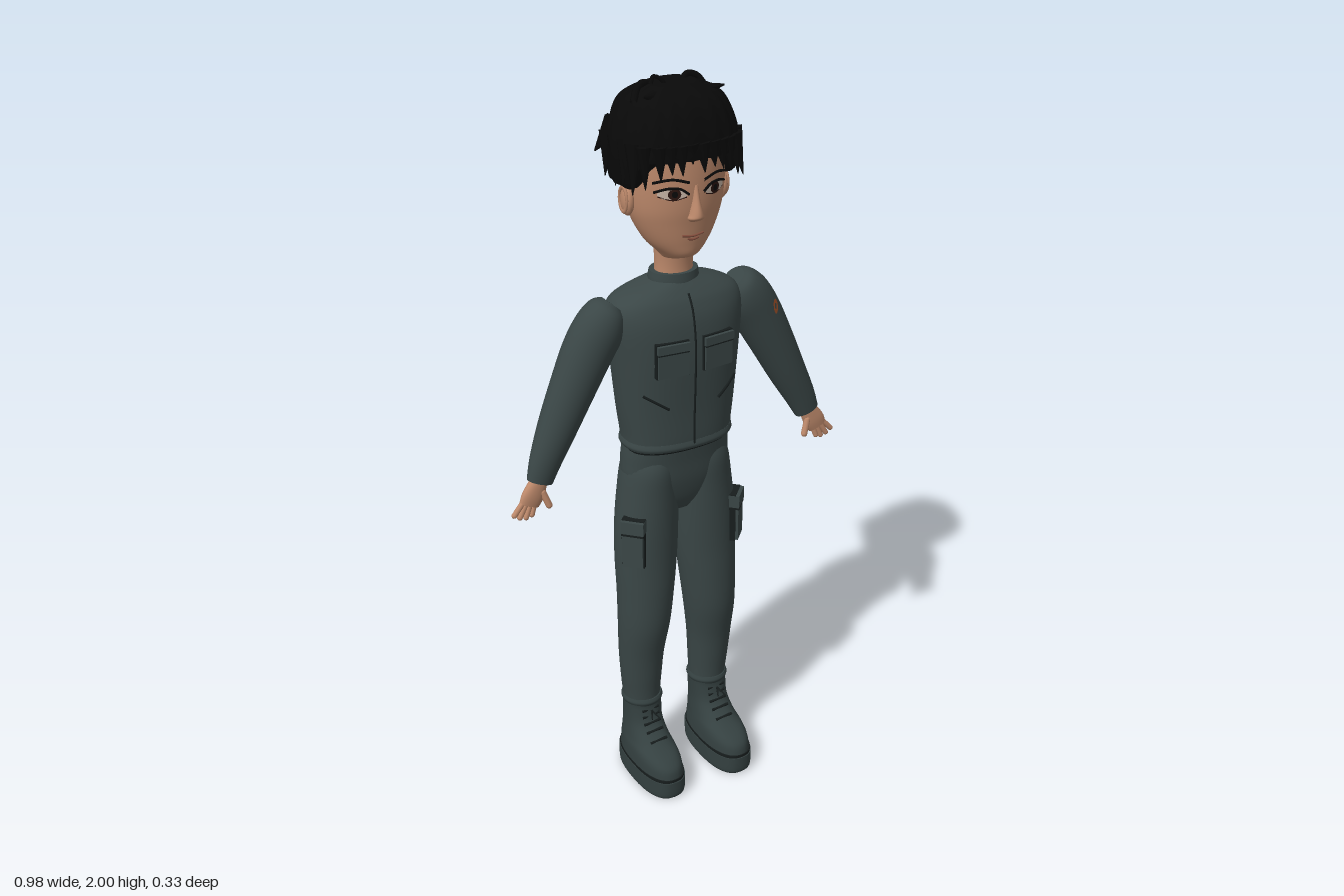
import * as THREE from 'three';

const mat = (name, color, side = THREE.FrontSide) => {
  const m = new THREE.MeshStandardMaterial({ color, side });
  m.name = name;
  return m;
};

// Rings are [x, y, z, radiusX, radiusZ, tilt], listed bottom to top; smooth them with Catmull-Rom.
function smooth(rings, steps = 5) {
  const at = i => rings[Math.min(Math.max(i, 0), rings.length - 1)];
  const out = [];
  for (let i = 0; i < rings.length - 1; i++)
    for (let k = 0; k < steps; k++) {
      const t = k / steps, [a, b, c, d] = [at(i - 1), at(i), at(i + 1), at(i + 2)];
      out.push(b.map((_, j) => 0.5 * (2 * b[j] + (c[j] - a[j]) * t +
        (2 * a[j] - 5 * b[j] + 4 * c[j] - d[j]) * t * t + (3 * b[j] - a[j] - 3 * c[j] + d[j]) * t ** 3)));
    }
  out.push(at(rings.length));
  return out;
}

// Superellipse cross-sections skinned into a closed body
function loft(rings, n = 2, deform = null, seg = 40) {
  const pos = [], idx = [], rows = smooth(rings);
  const pw = v => Math.sign(v) * Math.abs(v) ** (2 / n);
  const addRing = r => {
    const t = r[5] || 0;
    for (let j = 0; j < seg; j++) {
      const a = j / seg * Math.PI * 2, u = pw(Math.cos(a)) * r[3];
      const p = new THREE.Vector3(r[0] + u * Math.cos(t), r[1] + u * Math.sin(t), r[2] + pw(Math.sin(a)) * r[4]);
      if (deform) deform(p, a);
      pos.push(p.x, p.y, p.z);
    }
  };
  rows.forEach(addRing);
  for (let i = 0; i < rows.length - 1; i++)
    for (let j = 0; j < seg; j++) {
      const a = i * seg + j, b = i * seg + (j + 1) % seg;
      idx.push(a, a + seg, b, b, a + seg, b + seg);
    }
  [rows[0], rows[rows.length - 1]].forEach((r, top) => {
    const base = pos.length / 3;
    addRing(r);
    pos.push(r[0], r[1], r[2]);
    for (let j = 0; j < seg; j++) {
      const a = base + j, b = base + (j + 1) % seg, c = base + seg;
      if (top) idx.push(a, c, b); else idx.push(a, b, c);
    }
  });
  const g = new THREE.BufferGeometry();
  g.setAttribute('position', new THREE.Float32BufferAttribute(pos, 3));
  g.setIndex(idx);
  g.computeVertexNormals();
  return g;
}

// Front surface depth of a lofted body at x, y
function frontZ(rings, n, x, y) {
  const rows = smooth(rings);
  let i = 0;
  while (i < rows.length - 2 && rows[i + 1][1] < y) i++;
  const t = THREE.MathUtils.clamp((y - rows[i][1]) / (rows[i + 1][1] - rows[i][1]), 0, 1);
  const r = rows[i].map((v, j) => v + (rows[i + 1][j] - v) * t);
  return r[2] + r[4] * Math.max(0, 1 - Math.abs((x - r[0]) / r[3]) ** n) ** (1 / n);
}

const HEAD = [[0, 1.55, -.032, .045, .045], [0, 1.565, -.015, .052, .062], [0, 1.6, -.02, .085, .078],
  [0, 1.65, -.027, .112, .094], [0, 1.7, -.03, .126, .105], [0, 1.78, -.032, .131, .11],
  [0, 1.86, -.035, .126, .108], [0, 1.92, -.035, .1, .09], [0, 1.945, -.035, .04, .04]];
const TORSO = [[0, 1.045, -.025, .151, .095], [0, 1.08, -.025, .153, .097], [0, 1.16, -.027, .163, .1],
  [0, 1.3, -.03, .176, .108], [0, 1.39, -.034, .186, .106], [0, 1.44, -.038, .178, .094],
  [0, 1.468, -.037, .135, .075], [0, 1.49, -.035, .062, .054]];
const HAIR = [[0, 1.745, -.045, .115, .1], [0, 1.748, -.04, .149, .12], [0, 1.8, -.036, .157, .126],
  [0, 1.86, -.036, .156, .129], [0, 1.92, -.042, .137, .12], [0, 1.955, -.042, .113, .093], [0, 1.978, -.042, .06, .05]];

export function createModel() {
  const root = new THREE.Group();
  root.name = 'figure';
  const cloth = mat('uniform grey green', 0x3a4646), boot = mat('boot grey', 0x344040);
  const dark = mat('seam dark', 0x171d1d), skin = mat('skin', 0xbd896b);
  const black = mat('hair black', 0x090909, THREE.DoubleSide), white = mat('eye white', 0xcbb9aa, THREE.DoubleSide);
  const brown = mat('iris brown', 0x2b1510, THREE.DoubleSide), lip = mat('lip', 0x86503f);
  const orange = mat('patch orange', 0xa8562c, THREE.DoubleSide);

  const add = (name, geo, m, parent = root) => {
    const mesh = new THREE.Mesh(geo, m);
    mesh.name = name;
    parent.add(mesh);
    return mesh;
  };
  const box = (name, m, w, h, d, x, y, z, ry = 0) => {
    const b = add(name, new THREE.BoxGeometry(w, h, d), m);
    b.position.set(x, y, z);
    b.rotation.y = ry;
    return b;
  };
  // Tapered rod from p to q; rounded makes it a capsule
  const rod = (name, m, p, q, r0, r1, rounded = false) => {
    const a = new THREE.Vector3(...p), b = new THREE.Vector3(...q), d = b.clone().sub(a), len = d.length();
    const g = rounded ? new THREE.CapsuleGeometry(r0, len, 4, 10) : new THREE.CylinderGeometry(r1, r0, len, 8);
    const mesh = add(name, g, m);
    mesh.position.copy(a.add(b).multiplyScalar(.5));
    mesh.quaternion.setFromUnitVectors(new THREE.Vector3(0, 1, 0), d.normalize());
    return mesh;
  };
  const tube = (name, m, pts, r) => add(name, new THREE.TubeGeometry(
    new THREE.CatmullRomCurve3(pts.map(p => new THREE.Vector3(...p))), 20, r, 6), m);
  // Line drawn on the front of a lofted body
  const seam = (name, m, body, n, pts, r) =>
    tube(name, m, pts.map(([x, y]) => [x, y, frontZ(body, n, x, y) + r * .4]), r);
  // Thin oval laid on the face
  const oval = (name, m, x, y, w, h, lift) => {
    const g = new THREE.RingGeometry(0, 1, 20, 4), p = g.attributes.position;
    for (let i = 0; i < p.count; i++) {
      const px = x + p.getX(i) * w, py = y + p.getY(i) * h;
      p.setXYZ(i, px, py, frontZ(HEAD, 2, px, py) + lift);
    }
    g.computeVertexNormals();
    return add(name, g, m);
  };

  // Head, neck and nose
  add('head', loft(HEAD), skin);
  add('neck', loft([[0, 1.47, -.035, .054, .045], [0, 1.53, -.033, .05, .043], [0, 1.6, -.03, .055, .05]]), skin);
  add('nose', loft([[0, 1.662, .066, .012, .008], [0, 1.672, .074, .021, .02], [0, 1.685, .075, .017, .022],
    [0, 1.72, .07, .01, .018], [0, 1.755, .066, .008, .013]], 2, null, 16), skin);
  seam('mouth', lip, HEAD, 2, [[-.03, 1.626], [0, 1.623], [.03, 1.626]], .003);
  seam('lowerLip', lip, HEAD, 2, [[-.016, 1.617], [0, 1.614], [.016, 1.617]], .003);

  // Hair cap with a raised hairline over the face
  add('hairCap', loft(HAIR, 2.5, (p, a) => {
    p.y = Math.max(p.y, 1.745 + .075 * THREE.MathUtils.smoothstep(p.z, 0, .06));
    const k = 1 + .012 * Math.sin(a * 20);
    p.x *= k;
    p.z = -.04 + (p.z + .04) * k;
  }, 120), black);
  [-.125, -.095, -.07, -.045, -.02, .012, .04, .065, .09, .12].forEach((x, i) => {
    const z = frontZ(HAIR, 2.5, x, 1.84) - .012;
    const tip = [1.755, 1.775, 1.79, 1.785, 1.81, 1.785, 1.795, 1.785, 1.775, 1.755][i];
    rod('fringeLock', black, [x, 1.86, z], [x * 1.04 + .006, tip, z + .005], .022, .001);
  });
  for (const s of [-1, 1]) {
    [.03, -.01, -.055, -.1].forEach((z, i) =>
      rod('sideLock', black, [s * .135, 1.86, z - .01], [s * (.154 + .004 * (i % 2)), 1.745 + .012 * (i % 2), z + .012], .025, .001));
    rod('backLock', black, [s * .105, 1.87, -.125], [s * .15, 1.8, -.155], .035, .002);
    rod('crownLock', black, [s * .04, 1.95, -.02], [s * .11, 1.968, .02], .025, .002);
  }
  tube('crownCurl', black, [[-.02, 1.96, -.03], [-.03, 1.985, -.035], [-.05, 1.995, -.04], [-.06, 1.98, -.035]], .005);
  tube('crownCurl', black, [[.03, 1.96, -.05], [.05, 1.985, -.055], [.075, 1.98, -.05], [.09, 1.96, -.04]], .008);
  tube('crownCurl', black, [[-.03, 1.96, -.06], [-.07, 1.98, -.05], [-.1, 1.975, -.03], [-.12, 1.95, -.01]], .009);

  // Torso, collar, belt and pelvis
  add('jacket', loft(TORSO, 2.4), cloth);
  add('collar', loft([[0, 1.475, -.035, .068, .058], [0, 1.492, -.035, .067, .057], [0, 1.51, -.034, .064, .054]]), cloth);
  add('jacketHem', loft([[0, 1.046, -.025, .152, .097], [0, 1.055, -.025, .156, .1], [0, 1.068, -.025, .153, .097]], 2.4), cloth);
  add('hemShadow', loft([[0, 1.038, -.027, .148, .09], [0, 1.047, -.026, .15, .094]], 2.4), dark);
  add('pelvis', loft([[0, .84, -.03, .05, .045], [0, .88, -.032, .11, .068], [0, .94, -.031, .15, .082],
    [0, 1.0, -.03, .153, .087], [0, 1.045, -.027, .149, .09]], 2.3), cloth);
  seam('zip', dark, TORSO, 2.4, [1.06, 1.15, 1.25, 1.35, 1.43, 1.465].map(y => [0, y]), .003);

  for (const s of [-1, 1]) {
    // Face details and ear
    oval('eyeWhite', white, s * .058, 1.737, .034, .014, .002);
    oval('iris', brown, s * .056, 1.738, .015, .0135, .004);
    oval('pupil', black, s * .056, 1.738, .007, .008, .005);
    seam('eyelid', black, HEAD, 2, [[s * .02, 1.735], [s * .042, 1.75], [s * .07, 1.752], [s * .098, 1.742]], .0035);
    seam('lowerLid', brown, HEAD, 2, [[s * .026, 1.729], [s * .058, 1.723], [s * .09, 1.732]], .002);
    seam('brow', black, HEAD, 2, [[s * .02, 1.764], [s * .06, 1.774], [s * .1, 1.765]], .0035);
    const ear = add('ear', new THREE.SphereGeometry(1, 16, 12), skin);
    ear.scale.set(.015, .039, .024);
    ear.position.set(s * .132, 1.71, -.026);
    const rim = add('earRim', new THREE.TorusGeometry(.019, .004, 6, 20), skin);
    rim.scale.y = 1.6;
    rim.position.set(s * .142, 1.713, -.028);
    rim.rotation.y = Math.PI / 2;

    // Chest pockets and slanted seams
    const pz = frontZ(TORSO, 2.4, s * .065, 1.31);
    box('pocketEdge', dark, .09, .094, .014, s * .065, 1.312, pz - .002, s * .1);
    box('chestPocket', cloth, .083, .086, .022, s * .065, 1.31, pz - .001, s * .1);
    box('pocketFlapEdge', dark, .085, .004, .025, s * .065, 1.332, pz, s * .1);
    box('pocketFlap', cloth, .088, .022, .027, s * .065, 1.345, pz, s * .1);
    seam('slantPocket', dark, TORSO, 2.4, [[s * .135, 1.215], [s * .105, 1.195], [s * .072, 1.172]], .004);

    // Sleeve, shoulder top to wrist
    add('sleeve', loft([[s * .405, 1.022, -.008, .036, .024, s * .35], [s * .385, 1.07, -.014, .043, .034, s * .42],
      [s * .345, 1.15, -.022, .052, .047, s * .47], [s * .3, 1.24, -.026, .06, .054, s * .5],
      [s * .25, 1.335, -.03, .067, .06, s * .52], [s * .213, 1.395, -.03, .066, .06, s * .58],
      [s * .19, 1.432, -.031, .05, .052, s * .68], [s * .178, 1.448, -.031, .03, .032, s * .72]]), cloth);
    // Hand
    add('palm', loft([[s * .44, .965, -.003, .028, .011, s * .4], [s * .427, .99, -.004, .031, .014, s * .4],
      [s * .405, 1.03, -.008, .023, .016, s * .35]], 2.2, null, 20), skin);
    [[.458, .975, .483, .948], [.45, .968, .468, .938], [.438, .964, .451, .934], [.426, .963, .435, .938]].forEach(
      ([x0, y0, x1, y1]) => rod('finger', skin, [s * x0, y0, -.003], [s * x1, y1, 0], .0075, .0075, true));
    rod('thumb', skin, [s * .403, .995, .002], [s * .39, .957, .009], .009, .009, true);

    // Trouser leg
    add('trouserLeg', loft([[s * .107, .2, -.032, .048, .05], [s * .108, .26, -.033, .053, .054],
      [s * .109, .32, -.031, .058, .058], [s * .109, .4, -.027, .064, .063], [s * .104, .5, -.019, .073, .072],
      [s * .098, .6, -.02, .08, .075], [s * .093, .7, -.025, .087, .077], [s * .089, .8, -.028, .088, .08],
      [s * .083, .9, -.031, .082, .083], [s * .078, .98, -.03, .073, .083], [s * .07, 1.03, -.03, .06, .07]]), cloth);
    // Thigh pocket
    box('thighPocketEdge', dark, .062, .142, .022, s * .155, .783, .025, s * .8);
    box('thighPocket', cloth, .057, .134, .034, s * .156, .782, .026, s * .8);
    box('thighFlapEdge', dark, .06, .005, .037, s * .156, .812, .027, s * .8);
    box('thighFlap', cloth, .062, .036, .038, s * .156, .834, .027, s * .8);

    // Boot: sole, welt, upper, cuff and laces
    const plan = [[s * .11, 0, .026, .061, .132], [s * .11, .012, .027, .064, .137], [s * .11, .055, .027, .064, .138]];
    add('sole', loft(plan, 2.5), boot);
    add('welt', loft([[s * .11, .055, .027, .0625, .135], [s * .11, .063, .027, .0625, .135]], 2.5), dark);
    add('bootUpper', loft([[s * .11, .06, .026, .062, .134], [s * .11, .088, .024, .061, .129], [s * .11, .108, .014, .059, .115],
      [s * .109, .13, -.008, .055, .088], [s * .108, .17, -.027, .051, .063], [s * .107, .22, -.032, .052, .055],
      [s * .107, .245, -.032, .054, .056]], 2.3), boot);
    add('bootCuff', loft([[s * .107, .232, -.032, .054, .056], [s * .107, .242, -.032, .058, .06],
      [s * .107, .252, -.032, .054, .056]]), boot);
    [[.135, .074], [.155, .052], [.175, .038], [.195, .03], [.215, .027]].forEach(([y, z]) =>
      rod('lace', dark, [s * .108 - .026, y, z - .008], [s * .108 + .026, y + .004, z - .008], .004, .004));
    rod('laceEnd', dark, [s * .108, .215, .026], [s * .108 + .012, .2, .052], .003, .002);
    rod('laceEnd', dark, [s * .108, .215, .026], [s * .108 - .012, .205, .052], .003, .002);
  }

  // Sleeve patch on the left arm
  const badge = add('sleevePatch', new THREE.RingGeometry(.006, .014, 20), orange);
  badge.position.set(.272, 1.367, .026);
  badge.rotation.set(-.25, .62, 0);
  badge.scale.y = 1.4;
  return root;
}
